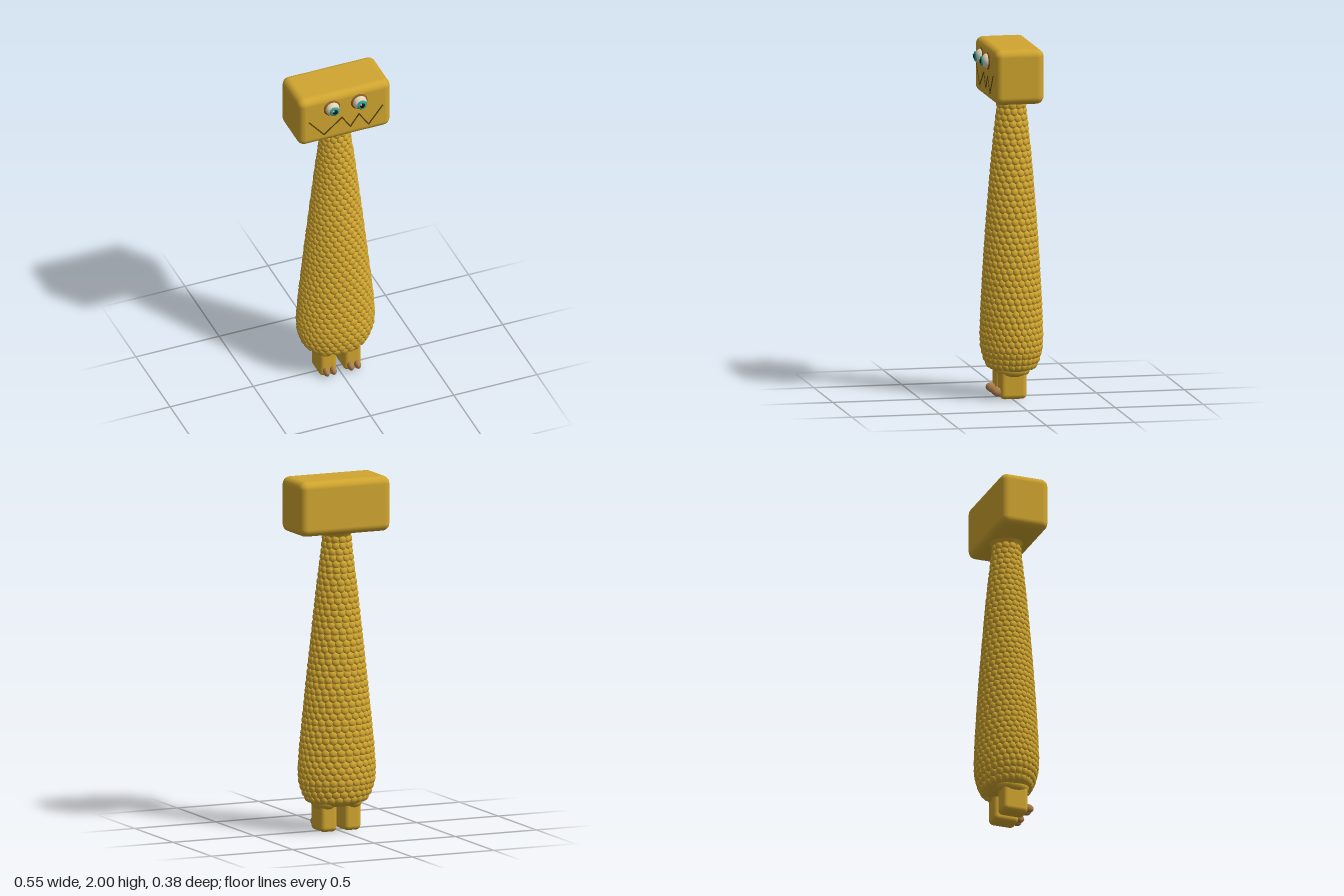
import * as THREE from 'three';
import { mergeGeometries } from 'three/addons/utils/BufferGeometryUtils.js';
import { RoundedBoxGeometry } from 'three/addons/geometries/RoundedBoxGeometry.js';

const mat = (name, color) => {
  const m = new THREE.MeshStandardMaterial({ color });
  m.name = name;
  return m;
};

// body half width by height
const PROFILE = [
  [0, 0.14], [0.12, 0.15], [0.165, 0.175], [0.19, 0.215], [0.212, 0.28], [0.216, 0.36], [0.207, 0.48],
  [0.194, 0.6], [0.172, 0.8], [0.149, 1.0], [0.126, 1.2], [0.103, 1.4], [0.077, 1.6], [0.073, 1.65],
  [0.078, 1.675], [0.105, 1.7],
];

function bodyRadius(y) {
  for (let i = 1; i < PROFILE.length; i++) {
    const [r0, y0] = PROFILE[i - 1], [r1, y1] = PROFILE[i];
    if (y <= y1) return r0 + (r1 - r0) * (y - y0) / (y1 - y0);
  }
  return PROFILE[PROFILE.length - 1][0];
}

// the body is flattened front to back at the bottom and round at the neck
const depthRatio = (y) => THREE.MathUtils.lerp(0.76, 1, THREE.MathUtils.clamp((y - 0.4) / 1.2, 0, 1));
const CENTER_Z = -0.016;
const bodyPoint = (a, y) => new THREE.Vector3(
  Math.sin(a) * bodyRadius(y), y, Math.cos(a) * bodyRadius(y) * depthRatio(y) + CENTER_Z);

function bodyGeometry() {
  const g = new THREE.LatheGeometry(PROFILE.map(([r, y]) => new THREE.Vector2(r, y)), 40);
  const p = g.attributes.position;
  for (let i = 0; i < p.count; i++) p.setZ(i, p.getZ(i) * depthRatio(p.getY(i)) + CENTER_Z);
  g.computeVertexNormals();
  return g;
}

// staggered rows of domed scales lying on the body surface
function scalesGeometry() {
  const dome = new THREE.SphereGeometry(1, 9, 4, 0, Math.PI * 2, 0, Math.PI / 2).rotateX(Math.PI / 2);
  const parts = [];
  const step = 0.034;
  let row = 0;
  for (let y = 0.19; y < 1.66; y += step, row++) {
    const r = bodyRadius(y);
    const count = Math.round(Math.PI * r * (1 + depthRatio(y)) / 0.041);
    for (let i = 0; i < count; i++) {
      const a = (i + (row % 2) / 2) / count * Math.PI * 2;
      const across = bodyPoint(a + 0.01, y).sub(bodyPoint(a - 0.01, y));
      const width = across.length() / 0.02 * Math.PI / count * 1.08;
      across.normalize();
      const up = bodyPoint(a, y + 0.01).sub(bodyPoint(a, y - 0.01)).normalize();
      const out = new THREE.Vector3().crossVectors(across, up).normalize();
      up.crossVectors(out, across);
      const m = new THREE.Matrix4().makeBasis(across, up, out).setPosition(bodyPoint(a, y).addScaledVector(out, -0.002));
      m.multiply(new THREE.Matrix4().makeRotationX(-0.12));
      m.multiply(new THREE.Matrix4().makeScale(width, 0.023, 0.014));
      parts.push(dome.clone().applyMatrix4(m));
    }
  }
  return mergeGeometries(parts);
}

// thin zigzag ribbon for the mouth
function mouthGeometry() {
  const pts = [[-0.218, 1.85], [-0.13, 1.745], [-0.022, 1.835], [0.028, 1.757], [0.08, 1.83], [0.138, 1.742], [0.222, 1.85]];
  const parts = [];
  for (let i = 1; i < pts.length; i++) {
    const [x0, y0] = pts[i - 1], [x1, y1] = pts[i];
    const bar = new THREE.BoxGeometry(Math.hypot(x1 - x0, y1 - y0) + 0.004, 0.007, 0.005);
    bar.rotateZ(Math.atan2(y1 - y0, x1 - x0));
    parts.push(bar.translate((x0 + x1) / 2, (y0 + y1) / 2, 0.1345));
  }
  return mergeGeometries(parts);
}

export function createModel() {
  const skin = mat('golden skin', 0xd0a52f);
  const claw = mat('tan claw', 0xb07f4c);
  const rim = mat('brown eyelid', 0x8a5a24);
  const cream = mat('cream eyeball', 0xe2d3b6);
  const teal = mat('teal iris', 0x2fa59a);
  const black = mat('black pupil', 0x14120f);
  const dark = mat('dark mouth', 0x53400f);

  const group = new THREE.Group();
  const add = (name, geometry, material, x = 0, y = 0, z = 0, parent = group) => {
    const mesh = new THREE.Mesh(geometry, material);
    mesh.name = name;
    mesh.position.set(x, y, z);
    parent.add(mesh);
    return mesh;
  };

  add('head', new RoundedBoxGeometry(0.554, 0.31, 0.281, 5, 0.042), skin, 0, 1.845, -0.0065);
  add('mouth', mouthGeometry(), dark);
  add('body', bodyGeometry(), skin);
  add('scales', scalesGeometry(), skin);

  for (const s of [-1, 1]) {
    const side = s > 0 ? 'left' : 'right';

    // legs with two claws each
    const leg = new THREE.Group();
    leg.name = side + 'Leg';
    group.add(leg);
    add('leg', new RoundedBoxGeometry(0.102, 0.2, 0.15, 4, 0.026), skin, s * 0.073, 0.105, -0.005, leg);
    add('hip', new THREE.SphereGeometry(1, 20, 12).scale(0.065, 0.045, 0.095), skin, s * 0.08, 0.165, -0.01, leg);
    for (const x of [0.052, 0.094])
      add('claw', new THREE.SphereGeometry(1, 14, 10).scale(0.018, 0.025, 0.03), claw, s * x, 0.045, 0.08, leg);

    // layered bulging eyes
    const eye = new THREE.Group();
    eye.name = side + 'Eye';
    eye.position.set(s * 0.082, 1.915, 0);
    group.add(eye);
    add('eyelid', new THREE.SphereGeometry(1, 24, 12).scale(0.05, 0.05, 0.014), rim, 0, 0, 0.133, eye);
    add('eyeball', new THREE.SphereGeometry(1, 24, 16).scale(0.041, 0.041, 0.033), cream, 0, 0, 0.14, eye);
    add('iris', new THREE.SphereGeometry(1, 24, 12).scale(0.029, 0.029, 0.009), teal, 0.002, 0, 0.171, eye);
    add('pupil', new THREE.SphereGeometry(1, 20, 10).scale(0.016, 0.016, 0.008), black, 0.002, 0, 0.176, eye);
    add('glint', new THREE.SphereGeometry(0.005, 10, 8), cream, -0.008, 0.008, 0.18, eye);
  }
  return group;
}
